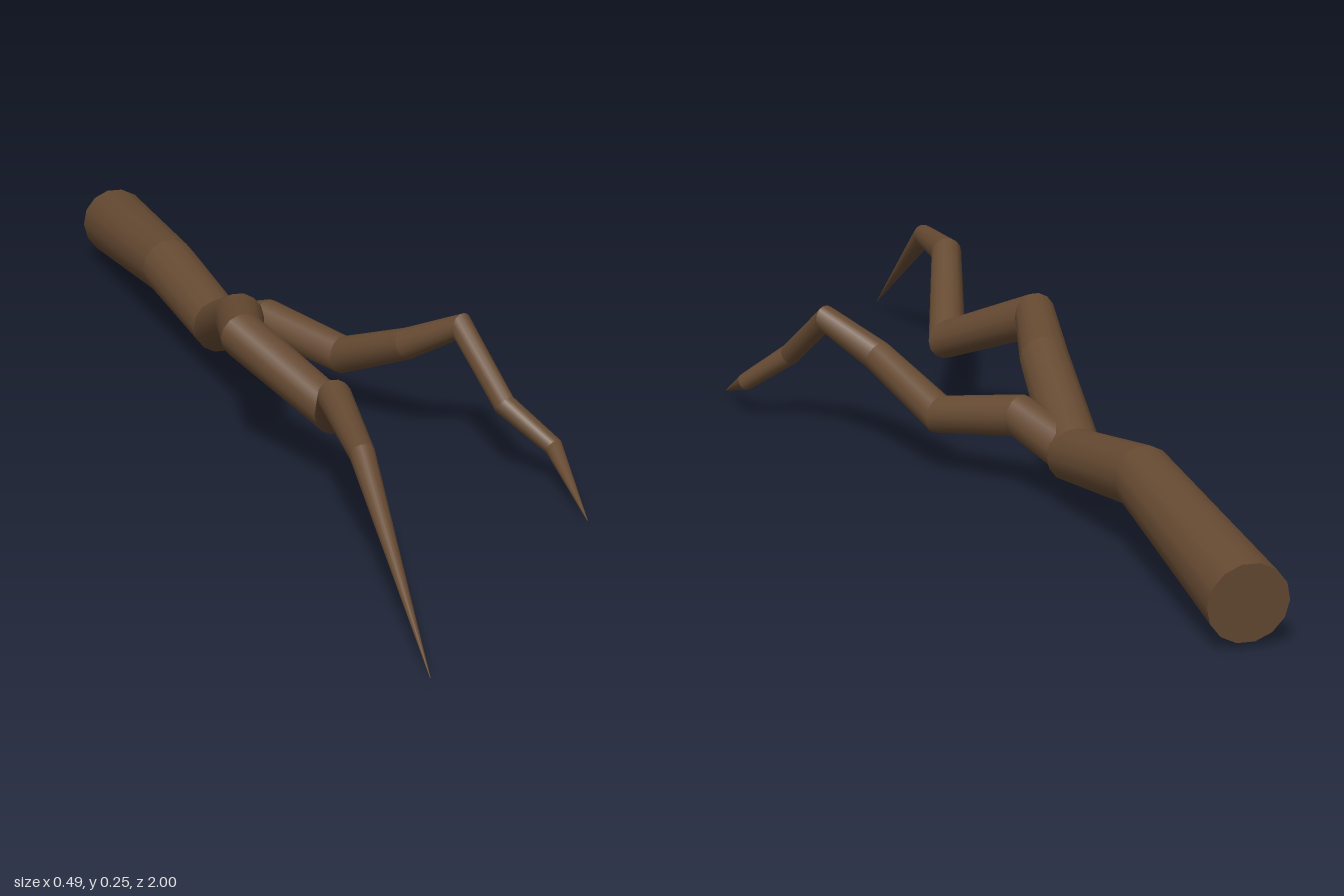
import * as THREE from 'three';

const SIDES = 14;

// Tapered limb through stations [x, y, z, radius]; smooth around, creased at each bend
function limb(stations, name, material) {
  const pts = stations.map(s => new THREE.Vector3(s[0], s[1], s[2]));
  const last = pts.length - 1;
  const dir = i => pts[i + 1].clone().sub(pts[i]).normalize();
  const up = new THREE.Vector3(0, 1, 0);

  // One ring per station, lying in the plane that halves the bend
  const rings = pts.map((p, i) => {
    const t = i === 0 ? dir(0) : i === last ? dir(last - 1) : dir(i - 1).add(dir(i)).normalize();
    const side = up.clone().cross(t).normalize();
    const top = t.clone().cross(side);
    return Array.from({ length: SIDES + 1 }, (_, k) => {
      const a = (k / SIDES) * Math.PI * 2;
      return p.clone()
        .addScaledVector(side, Math.cos(a) * stations[i][3])
        .addScaledVector(top, Math.sin(a) * stations[i][3]);
    });
  });

  const pos = [], nor = [], idx = [];
  const add = (v, n) => {
    pos.push(v.x, v.y, v.z);
    nor.push(n.x, n.y, n.z);
  };

  // Segment walls
  for (let i = 0; i < last; i++) {
    const base = pos.length / 3;
    const axis = dir(i);
    for (let k = 0; k <= SIDES; k++) {
      const n = rings[i][k].clone().sub(pts[i]);
      n.addScaledVector(axis, -n.dot(axis)).normalize();
      add(rings[i][k], n);
      add(rings[i + 1][k], n);
    }
    for (let k = 0; k < SIDES; k++) {
      const a = base + k * 2;
      idx.push(a, a + 2, a + 1, a + 1, a + 2, a + 3);
    }
  }

  // Flat cut at the thick end
  const c = pos.length / 3;
  const back = dir(0).negate();
  add(pts[0], back);
  rings[0].forEach(v => add(v, back));
  for (let k = 0; k < SIDES; k++) idx.push(c, c + k + 2, c + k + 1);

  const geo = new THREE.BufferGeometry();
  geo.setAttribute('position', new THREE.Float32BufferAttribute(pos, 3));
  geo.setAttribute('normal', new THREE.Float32BufferAttribute(nor, 3));
  geo.setIndex(idx);
  const mesh = new THREE.Mesh(geo, material);
  mesh.name = name;
  return mesh;
}

export function createModel() {
  const bark = new THREE.MeshStandardMaterial({ color: 0x664a32 });
  bark.name = 'brown bark';

  const group = new THREE.Group();
  group.name = 'branch';

  // Main stem, from the cut end to the pointed tip
  group.add(limb([
    [-0.177, 0.07, -0.99, 0.061],
    [-0.177, 0.12, -0.545, 0.049],
    [-0.148, 0.087, -0.305, 0.045],
    [-0.172, 0.18, -0.07, 0.04],
    [-0.208, 0.208, 0.095, 0.037],
    [-0.107, 0.13, 0.27, 0.034],
    [-0.163, 0.232, 0.47, 0.026],
    [-0.178, 0.216, 0.67, 0.019],
    [-0.177, 0.012, 1.0, 0.0005],
  ], 'mainStem', bark));

  // Side twig, forking off inside the stem
  group.add(limb([
    [-0.148, 0.087, -0.305, 0.037],
    [-0.09, 0.127, -0.2, 0.034],
    [0.003, 0.1, -0.07, 0.031],
    [0.066, 0.163, 0.08, 0.026],
    [0.133, 0.211, 0.155, 0.022],
    [0.165, 0.12, 0.28, 0.018],
    [0.228, 0.063, 0.335, 0.015],
    [0.227, 0.003, 0.5, 0.0005],
  ], 'sideTwig', bark));

  return group;
}
